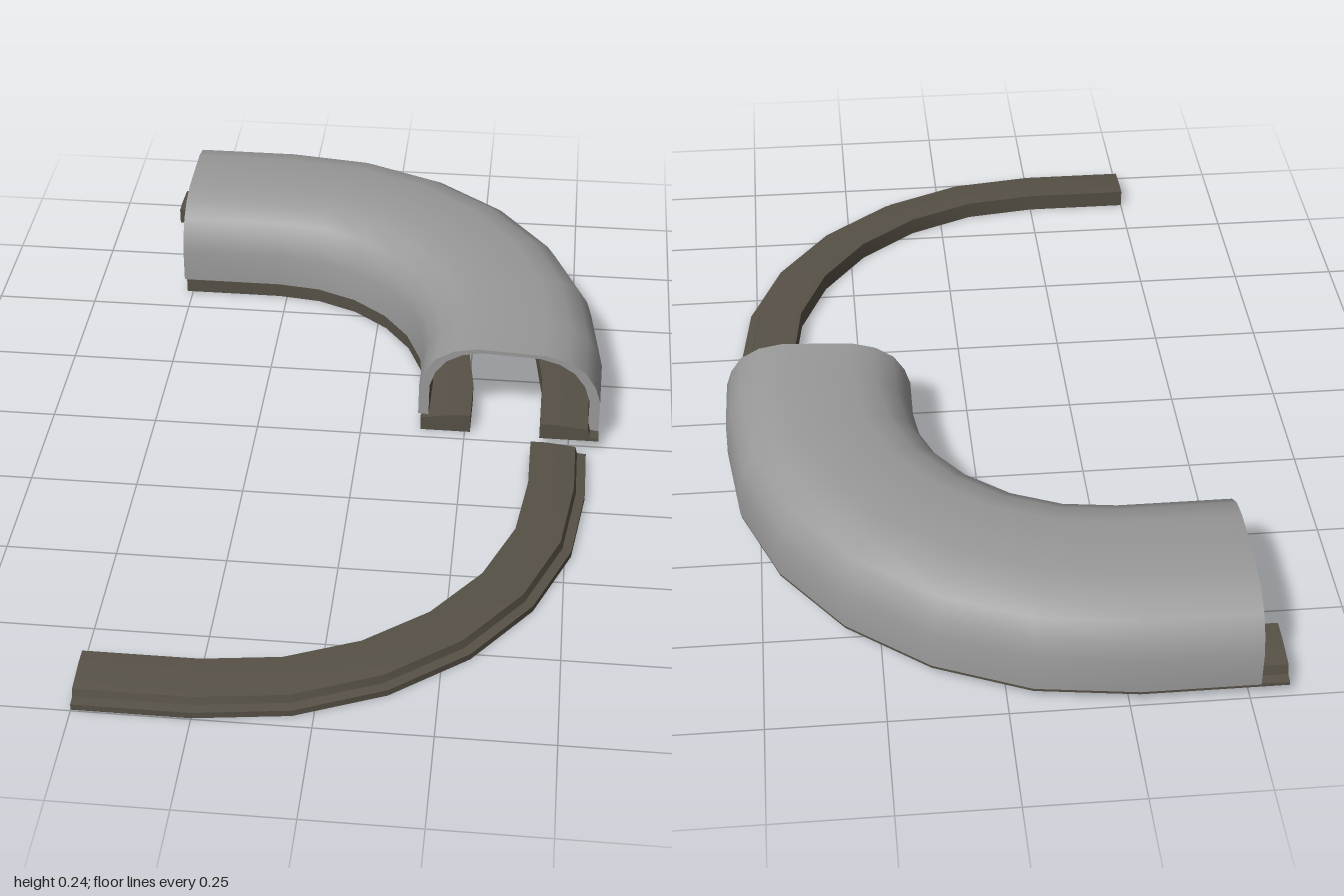
import * as THREE from 'three';
import { toCreasedNormals } from 'three/addons/utils/BufferGeometryUtils.js';

// Path stations: a straight lead-in, a quarter bend about (cx, cz), a short run-out
function bendPath(cx, cz, r, startX, endZ, tilt = 0, steps = 6) {
  const station = (x, z, a) => ({ x, z, nx: Math.sin(a), nz: -Math.cos(a) });
  const path = [station(startX, cz - r, 0)];
  for (let i = 0; i <= steps; i++) {
    const a = (i / steps) * Math.PI / 2;
    path.push(station(cx + r * Math.sin(a), cz - r * Math.cos(a), a));
  }
  path.push(station(cx + r - tilt * 0.03, endZ, Math.PI / 2 + tilt));
  return path;
}

// Mirror a path front to back, reversed so faces keep pointing outwards
const mirrorPath = (path) =>
  path.map((s) => ({ x: s.x, z: -s.z, nx: s.nx, nz: -s.nz })).reverse();

// Sweep edges [from, to) of a counter-clockwise profile loop (u outward, v up) along a path
function sweep(loop, path, from, to, caps, crease = 0.6) {
  const pos = [];
  const n = loop.length;
  const put = (s, p) => pos.push(s.x + s.nx * p[0], p[1], s.z + s.nz * p[0]);
  for (let i = 0; i < path.length - 1; i++) {
    for (let j = from; j < to; j++) {
      const p = loop[j], q = loop[(j + 1) % n];
      const s = path[i], e = path[i + 1];
      put(s, p); put(s, q); put(e, q);
      put(s, p); put(e, q); put(e, p);
    }
  }
  if (caps) {
    const pts = loop.map(([u, v]) => new THREE.Vector2(u, v));
    for (const [a, b, c] of THREE.ShapeUtils.triangulateShape(pts, [])) {
      const end = path[path.length - 1];
      put(path[0], loop[c]); put(path[0], loop[b]); put(path[0], loop[a]);
      put(end, loop[a]); put(end, loop[b]); put(end, loop[c]);
    }
  }
  const geo = new THREE.BufferGeometry();
  geo.setAttribute('position', new THREE.Float32BufferAttribute(pos, 3));
  return toCreasedNormals(geo, crease);
}

export function createModel() {
  const group = new THREE.Group();
  const shellGrey = new THREE.MeshStandardMaterial({ color: 0x999999 });
  shellGrey.name = 'shell grey';
  const railBrown = new THREE.MeshStandardMaterial({ color: 0x575146 });
  railBrown.name = 'rail brown';

  const add = (name, geo, mat) => {
    const mesh = new THREE.Mesh(geo, mat);
    mesh.name = name;
    group.add(mesh);
  };

  // Half arch sections, from the foot up to the crown
  const outerHalf = [[0.217, 0.04], [0.216, 0.125], [0.203, 0.165], [0.178, 0.203],
    [0.135, 0.23], [0.08, 0.243]];
  const innerHalf = [[0.192, 0.04], [0.191, 0.125], [0.178, 0.165], [0.152, 0.2],
    [0.115, 0.222], [0.07, 0.233]];
  const flip = (half) => half.map(([u, v]) => [-u, v]).reverse();
  const arch = [...outerHalf, ...flip(outerHalf), ...flip(innerHalf).reverse(),
    ...innerHalf.slice().reverse()];

  // Curved tunnel: grey skin with end rims and feet, brown lining
  const tunnelPath = bendPath(-0.27, -0.16, 0.625, -0.52, -0.025, 0.07);
  add('tunnelShell', sweep(arch, tunnelPath, 0, 12, true), shellGrey);
  add('tunnelFootInner', sweep(arch, tunnelPath, 11, 12, false), shellGrey);
  add('tunnelFootOuter', sweep(arch, tunnelPath, 23, 24, false), shellGrey);
  add('tunnelLining', sweep(arch, tunnelPath, 12, 23, false), railBrown);

  // Stepped rail section with a low lip on its outer edge
  const rail = (lift, w, lip, top) => [[-w, lift], [w, lift], [w, lift + lip],
    [w - 0.021, lift + lip + 0.002], [w - 0.026, lift + top - 0.008],
    [-w + 0.036, lift + top], [-w, lift + top]];
  const addRail = (name, loop, path) =>
    add(name, sweep(loop, path, 0, loop.length, true, 0.35), railBrown);

  // Rail under the outer wall, longer than the tunnel at both ends
  addRail('outerRail', rail(0.032, 0.07, 0.008, 0.041),
    bendPath(-0.27, -0.16, 0.77, -0.58, 0.02));

  // Rail under the inner wall, lip turned towards the inside of the bend
  const innerLoop = rail(0, 0.06, 0.036, 0.048).map(([u, v]) => [-u, v]).reverse();
  addRail('innerRail', innerLoop, bendPath(-0.27, -0.16, 0.473, -0.515, -0.03));

  // Separate rail in front, curving the other way
  addRail('frontRail', rail(0, 0.066, 0.015, 0.043),
    mirrorPath(bendPath(-0.25, -0.205, 0.726, -0.5, -0.05)));

  return group;
}
